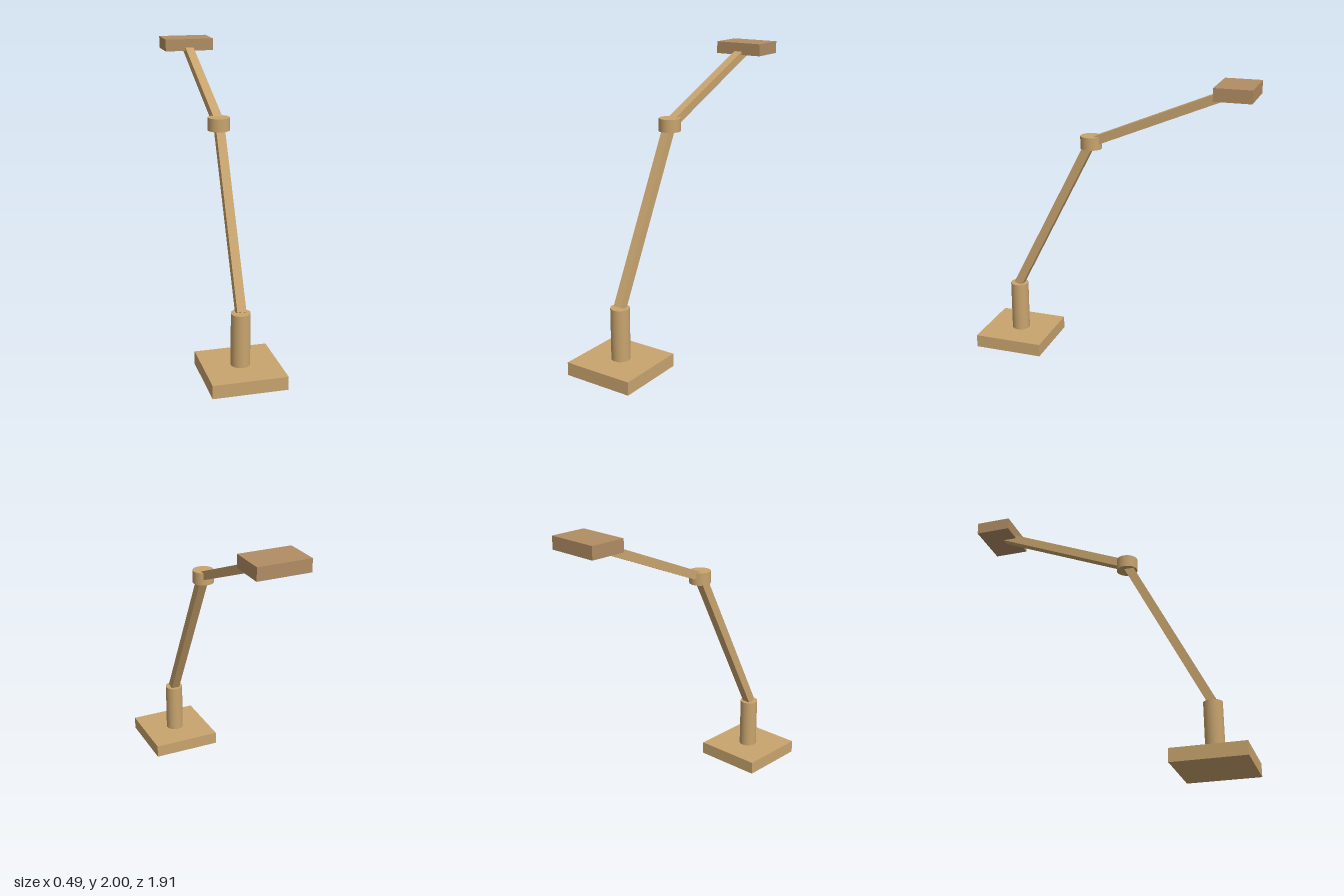
import * as THREE from 'three';

const tan = new THREE.MeshStandardMaterial({ color: 0xc8a46e });
const brown = new THREE.MeshStandardMaterial({ color: 0xb08d64 });

function addPart(group, name, geometry, material, y, z) {
  const mesh = new THREE.Mesh(geometry, material);
  mesh.name = name;
  mesh.position.set(0, y, z);
  group.add(mesh);
  return mesh;
}

// Square bar running between two points given as [y, z]
function addArm(group, name, [y0, z0], [y1, z1]) {
  const length = Math.hypot(y1 - y0, z1 - z0);
  const bar = new THREE.BoxGeometry(0.06, length, 0.06);
  const arm = addPart(group, name, bar, tan, (y0 + y1) / 2, (z0 + z1) / 2);
  arm.rotation.x = Math.atan2(z1 - z0, y1 - y0);
}

export function createModel() {
  const lamp = new THREE.Group();
  lamp.name = 'deskLamp';

  const postTop = [0.445, 0.71];
  const elbow = [1.547, 0.147];
  const headCentre = [1.958, -0.832];

  // Foot and upright post
  addPart(lamp, 'base', new THREE.BoxGeometry(0.49, 0.09, 0.49), tan, 0.045, 0.71);
  addPart(lamp, 'post', new THREE.CylinderGeometry(0.063, 0.063, 0.355, 32), tan, 0.2675, 0.71);

  // Two arms meeting at a round joint
  addArm(lamp, 'lowerArm', postTop, elbow);
  addPart(lamp, 'elbowJoint', new THREE.CylinderGeometry(0.073, 0.073, 0.086, 32), tan, ...elbow);
  addArm(lamp, 'upperArm', elbow, headCentre);

  // Flat lamp head
  addPart(lamp, 'lampHead', new THREE.BoxGeometry(0.354, 0.085, 0.245), brown, ...headCentre);

  return lamp;
}
